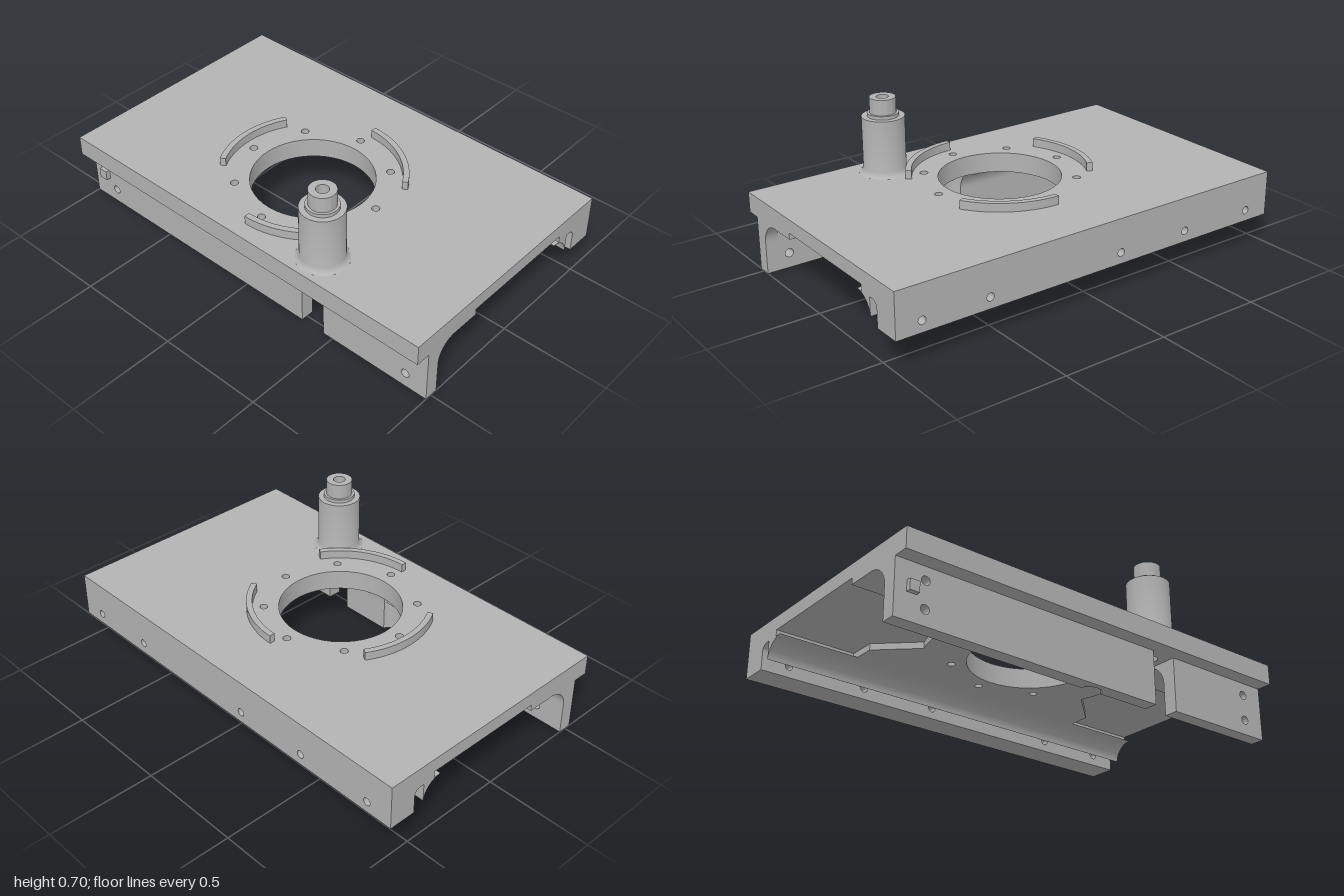
import * as THREE from 'three';
import { toCreasedNormals } from 'three/addons/utils/BufferGeometryUtils.js';

const grey = new THREE.MeshStandardMaterial({ color: 0xb3b3b3 });
grey.name = 'machinedGrey';

const CZ = 0.1;                      // z of the main bore centre
const POST = { x: 0.385, z: 0.46 };

export function createModel() {
  const group = new THREE.Group();
  group.name = 'basePlate';

  const add = (name, geo) => {
    const mesh = new THREE.Mesh(toCreasedNormals(geo, 0.5), grey);
    mesh.name = name;
    group.add(mesh);
    return mesh;
  };
  const polygon = pts => new THREE.Shape(pts.map(([a, b]) => new THREE.Vector2(a, b)));
  const hole = (shape, x, y, r) => {
    const p = new THREE.Path();
    p.absarc(x, y, r, 0, Math.PI * 2, true);
    shape.holes.push(p);
  };
  const extrude = (shape, depth) =>
    new THREE.ExtrudeGeometry(shape, { depth, bevelEnabled: false, curveSegments: 24 });
  // plan outline (x, -z) raised from y0 to y1
  const slab = (shape, y0, y1) => extrude(shape, y1 - y0).rotateX(-Math.PI / 2).translate(0, y0, 0);
  // section outline (z, y) run along x from x0 to x1
  const run = (shape, x0, x1) => extrude(shape, x1 - x0).rotateY(-Math.PI / 2).translate(x1, 0, 0);

  // main bore, ring of eight screw holes and the bore under the post
  const drill = shape => {
    hole(shape, 0, -CZ, 0.28);
    for (let i = 0; i < 8; i++) {
      const a = i * Math.PI / 4 + 0.06;
      hole(shape, 0.347 * Math.cos(a), -CZ + 0.347 * Math.sin(a), 0.018);
    }
    hole(shape, POST.x, -POST.z, 0.028);
    return shape;
  };

  // plate: full upper layer, and a lower layer with a shallow recess at each end
  add('plateTop', slab(drill(polygon([[-1, -0.6], [1, -0.6], [1, 0.6], [-1, 0.6]])), 0.28, 0.345));
  const side = [[1, -0.6], [1, -0.23]];
  for (let i = 0; i <= 12; i++) {
    const a = -0.274 + i * (0.274 + 0.362) / 12;
    side.push([0.48 * Math.cos(a), -CZ + 0.48 * Math.sin(a)]);
  }
  side.push([0.62, 0.23], [0.62, 0.36], [1, 0.36], [1, 0.6]);
  const mirrored = side.map(([x, y]) => [-x, y]).reverse();
  add('plateUnderside', slab(drill(polygon([...side, ...mirrored])), 0.25, 0.28));

  // front wall in three lengths, with a gap and screw holes
  const wallSegments = [[-1, -0.033, [-0.86]], [0.073, 0.33, []], [0.45, 1, [0.89]]];
  for (const [x0, x1, holes] of wallSegments) {
    const s = polygon([[x0, 0], [x1, 0], [x1, 0.25], [x0, 0.25]]);
    for (const x of holes) for (const y of [0.07, 0.19]) hole(s, x, y, 0.02);
    add('frontWall', extrude(s, 0.065).translate(0, 0, 0.465));
  }

  // short piece of front wall with a rounded tool groove
  const groove = [[-0.033, -0.53], [0.073, -0.53]];
  for (let i = 0; i <= 14; i++) {
    const a = THREE.MathUtils.degToRad(16 + i * 148 / 14);
    groove.push([0.02 + 0.055 * Math.cos(a), -0.45 - 0.055 * Math.sin(a)]);
  }
  add('groovedWall', slab(polygon(groove), 0, 0.25));

  // inner fillet under the plate, interrupted by the groove, gap and screw pockets
  const fillet = new THREE.Shape();
  fillet.moveTo(0.465, 0.15);
  fillet.lineTo(0.465, 0.25);
  fillet.lineTo(0.365, 0.25);
  fillet.absarc(0.365, 0.15, 0.1, Math.PI / 2, 0, true);
  for (const [x0, x1] of [[-1, -0.91], [-0.81, -0.033], [0.073, 0.33], [0.45, 0.84], [0.94, 1]])
    add('frontFillet', run(fillet, x0, x1));

  // back wall with five screw holes
  const back = polygon([[-1, 0.135], [1, 0.135], [1, 0.25], [-1, 0.25]]);
  for (const x of [0.88, 0.56, -0.12, -0.49, -0.87]) hole(back, x, 0.187, 0.018);
  add('backWall', extrude(back, 0.13).translate(0, 0, -0.6));

  // rounded corner of the rear slot
  const corner = new THREE.Shape();
  corner.moveTo(-0.47, 0.25);
  corner.lineTo(-0.47, 0.22);
  corner.absarc(-0.44, 0.22, 0.03, Math.PI, Math.PI / 2, true);
  add('slotCorner', run(corner, -1, 1));

  // curved lip in front of the rear slot
  const lip = new THREE.Shape();
  lip.moveTo(-0.42, 0.25);
  lip.lineTo(-0.42, 0.165);
  lip.absarc(-0.325, 0.155, 0.095, Math.PI - 0.105, Math.PI / 2, true);
  add('rearLip', run(lip, -1, 1));

  // three curved ribs around the bore
  for (const start of [30, 150, 270]) {
    const a0 = THREE.MathUtils.degToRad(start), a1 = a0 + Math.PI / 3;
    const s = new THREE.Shape();
    s.absarc(0, -CZ, 0.425, a0, a1, false);
    s.absarc(0, -CZ, 0.398, a1, a0, true);
    add('curvedRib', slab(s, 0.345, 0.385));
  }

  // hollow stepped post with a flared foot
  const profile = [
    [0.118, 0.345], [0.109, 0.35], [0.103, 0.358], [0.098, 0.372], [0.098, 0.612],
    [0.072, 0.612], [0.072, 0.628], [0.06, 0.628], [0.06, 0.7], [0.028, 0.7], [0.028, 0.345],
  ].map(([r, y]) => new THREE.Vector2(r, y));
  add('post', new THREE.LatheGeometry(profile, 48)).position.set(POST.x, 0, POST.z);

  // small locating block on the front wall
  add('locatingBlock', new THREE.BoxGeometry(0.045, 0.048, 0.022)).position.set(-0.922, 0.142, 0.541);

  return group;
}
